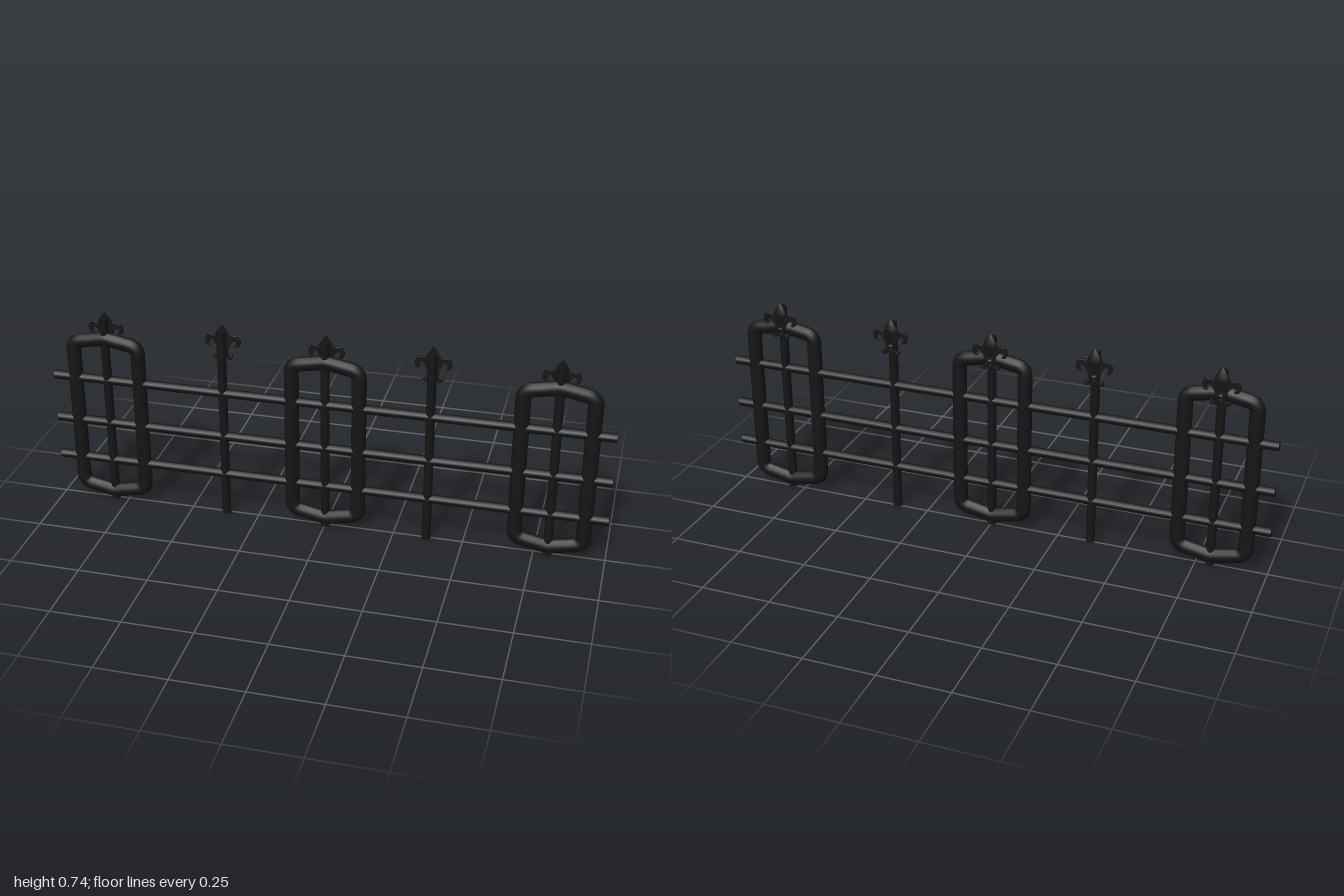
import * as THREE from 'three';

const iron = new THREE.MeshStandardMaterial({ color: 0x161516 });
const Z = 0.004; // plane of the bars
const V2 = (x, y) => new THREE.Vector2(x, y);

function add(parent, name, geometry, x = 0, y = 0, z = 0) {
  const mesh = new THREE.Mesh(geometry, iron);
  mesh.name = name;
  mesh.position.set(x, y, z);
  parent.add(mesh);
  return mesh;
}

// Flat tapering scroll that follows a curve through the given points
function scroll(points, widths, side) {
  const curve = new THREE.SplineCurve(points.map(([x, y]) => V2(x * side, y)));
  const left = [], right = [], n = 18;
  for (let i = 0; i <= n; i++) {
    const t = i / n, p = curve.getPoint(t), d = curve.getTangent(t);
    const f = t * (widths.length - 1), k = Math.min(Math.floor(f), widths.length - 2);
    const w = THREE.MathUtils.lerp(widths[k], widths[k + 1], f - k) / 2;
    left.push(V2(p.x - d.y * w, p.y + d.x * w));
    right.unshift(V2(p.x + d.y * w, p.y - d.x * w));
  }
  return new THREE.ExtrudeGeometry(new THREE.Shape([...left, ...right]), {
    depth: 0.006, bevelThickness: 0.002, bevelSize: 0.0015, bevelSegments: 1,
  });
}

// Half-round relief: a turned profile with its front half flattened
function relief(profile, depth) {
  const g = new THREE.LatheGeometry(profile.map(([r, y]) => V2(r, y)), 20);
  const p = g.attributes.position;
  for (let i = 0; i < p.count; i++) p.setZ(i, Math.min(0, p.getZ(i)) * depth);
  g.computeVertexNormals();
  return g;
}

// Three-leaved finial on the back of each post
function finial() {
  const g = new THREE.Group();
  g.name = 'finial';
  add(g, 'centreLeaf', relief([
    [0, 0.645], [0.009, 0.65], [0.014, 0.665], [0.022, 0.682], [0.027, 0.697],
    [0.024, 0.71], [0.015, 0.726], [0.006, 0.738], [0, 0.745],
  ], 0.45), 0, 0, -0.012);
  add(g, 'collar', relief([[0, 0.636], [0.02, 0.637], [0.023, 0.643], [0.02, 0.649], [0, 0.65]], 0.48), 0, 0, -0.012);
  add(g, 'tail', relief([[0, 0.604], [0.007, 0.613], [0.012, 0.625], [0.008, 0.64], [0, 0.645]], 0.6), 0, 0, -0.012);
  for (const s of [-1, 1]) {
    add(g, 'sideLeaf', scroll([
      [0.01, 0.643], [0.018, 0.668], [0.032, 0.691], [0.047, 0.694], [0.056, 0.682], [0.054, 0.668], [0.045, 0.664],
    ], [0.008, 0.011, 0.016, 0.018, 0.014, 0.009, 0.004], s), 0, 0, -0.02);
    add(g, 'lowerCurl', scroll([
      [0.008, 0.643], [0.013, 0.628], [0.022, 0.618], [0.03, 0.621], [0.03, 0.629],
    ], [0.008, 0.009, 0.01, 0.007, 0.003], s), 0, 0, -0.019);
  }
  return g;
}

// Closed loop of thick bar: straight sides, rounded corners, shallow peaks
function frameGeometry() {
  const corners = [[0, 0.65], [0.12, 0.628], [0.12, 0.058], [0, 0.034], [-0.12, 0.058], [-0.12, 0.628]]
    .map(([x, y]) => new THREE.Vector3(x, y, 0));
  const path = new THREE.CurvePath(), n = corners.length;
  const near = (i, j) => {
    const a = corners[i], b = corners[j], r = a.x === 0 ? 0.008 : 0.03;
    return a.clone().add(b.clone().sub(a).setLength(r));
  };
  for (let i = 0; i < n; i++) {
    const prev = (i + n - 1) % n, next = (i + 1) % n;
    path.add(new THREE.QuadraticBezierCurve3(near(i, prev), corners[i], near(i, next)));
    path.add(new THREE.LineCurve3(near(i, next), near(next, i)));
  }
  const g = new THREE.TubeGeometry(path, 180, 0.0265, 12, true);
  g.scale(1, 1, 0.81);
  return g;
}

export function createModel() {
  const fence = new THREE.Group();
  fence.name = 'fence';

  // Horizontal rails
  for (const y of [0.165, 0.318, 0.488]) {
    add(fence, 'rail', new THREE.CylinderGeometry(0.016, 0.016, 2, 12), 0, y, Z).rotation.z = Math.PI / 2;
  }

  // Upright posts, each with a finial
  for (const x of [-0.8, -0.37, 0, 0.37, 0.8]) {
    add(fence, 'post', new THREE.CylinderGeometry(0.016, 0.016, 0.724, 12), x, 0.365, Z);
    const top = finial();
    top.position.x = x;
    fence.add(top);
  }

  // Heavy frames around every second post
  const frame = frameGeometry();
  for (const x of [-0.8, 0, 0.8]) add(fence, 'frame', frame, x, 0, Z);

  return fence;
}
